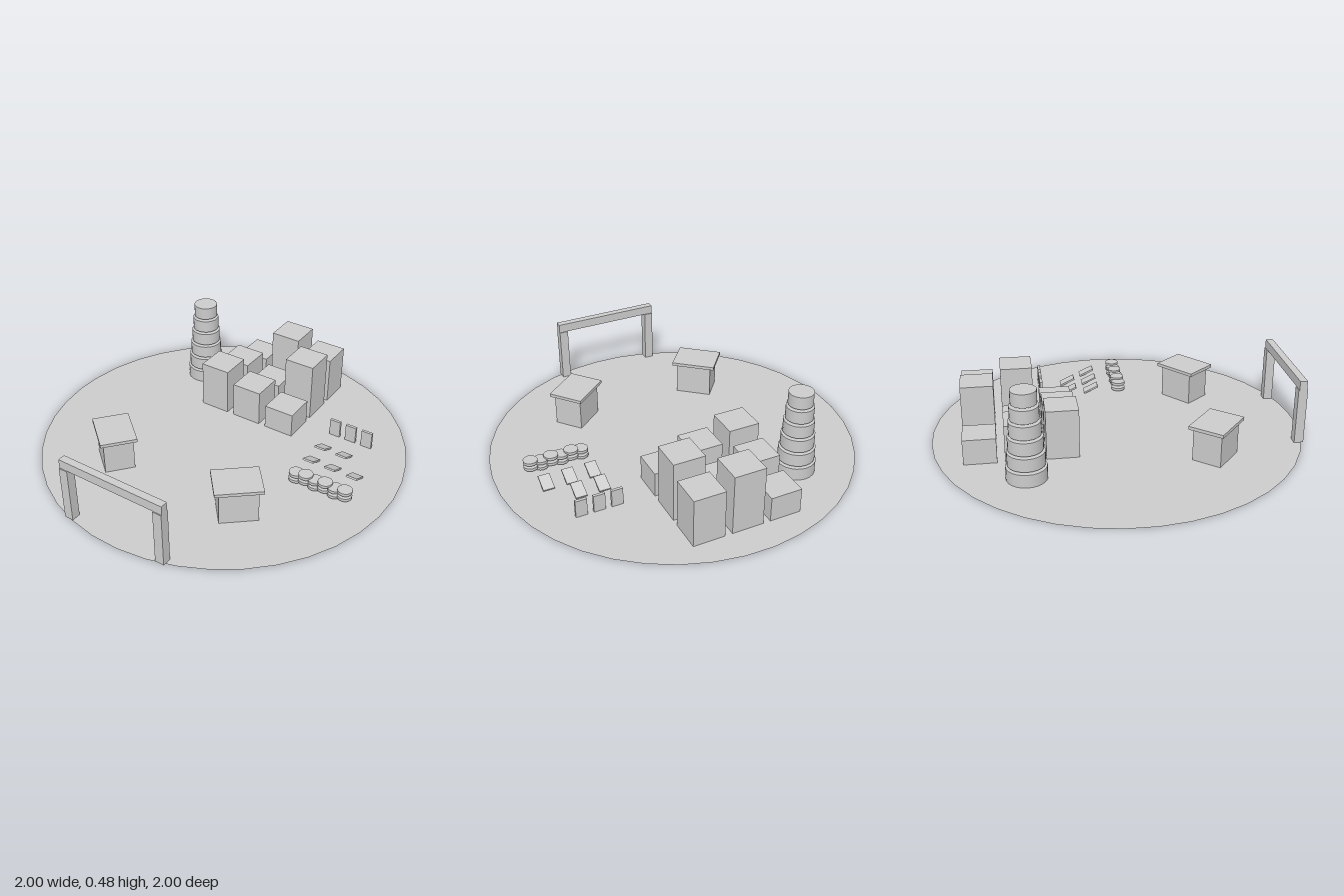
import * as THREE from 'three';

const mat = new THREE.MeshStandardMaterial({ color: 0xcccccc });
const deg = THREE.MathUtils.degToRad;

function add(parent, name, geometry, x, y, z) {
  const mesh = new THREE.Mesh(geometry, mat);
  mesh.name = name;
  mesh.position.set(x, y, z);
  parent.add(mesh);
  return mesh;
}

// Box and cylinder standing on height y
const box = (p, name, w, h, d, x, y, z) =>
  add(p, name, new THREE.BoxGeometry(w, h, d), x, y + h / 2, z);
const drum = (p, name, r, h, sides, x, y, z) =>
  add(p, name, new THREE.CylinderGeometry(r, r, h, sides), x, y + h / 2, z);

// Turned group placed on the ground
function place(parent, name, x, z, angle) {
  const g = new THREE.Group();
  g.name = name;
  g.position.set(x, 0, z);
  g.rotation.y = deg(angle);
  parent.add(g);
  return g;
}

export function createModel() {
  const model = new THREE.Group();
  model.name = 'islandDiorama';

  // Round flat ground
  const ground = add(model, 'ground', new THREE.CircleGeometry(1, 40), 0, 0, 0);
  ground.rotation.x = -Math.PI / 2;
  ground.material = mat.clone();
  ground.material.side = THREE.DoubleSide;

  // Three by three city blocks, heights cycling through four steps
  const city = place(model, 'cityBlocks', 0.263, -0.462, -30);
  for (let row = 0; row < 3; row++) {
    for (let col = 0; col < 3; col++) {
      const h = 0.138 + 0.0655 * ((row + 3 * col) % 4);
      box(city, 'cityBlock', 0.172, h, 0.172, (col - 1) * 0.212, 0, (row - 1) * 0.212);
    }
  }

  // Tower of shrinking drums
  const tower = place(model, 'tower', -0.15, -0.682, 0);
  for (let i = 0; i < 6; i++) {
    drum(tower, 'towerDrum', 0.105 - 0.0078 * i, 0.07, 24, 0, i * 0.082, 0);
  }

  // Gateway at the rim
  const gate = place(model, 'gate', -0.47, 0.812, -30);
  for (const s of [-1, 1]) box(gate, 'gatePost', 0.05, 0.306, 0.05, s * 0.28, 0, 0);
  box(gate, 'gateBeam', 0.61, 0.05, 0.04, 0, 0.306, 0);

  // Two stalls with overhanging roofs
  for (const [x, z, angle] of [[-0.565, 0.205, -70], [0.102, 0.588, 10]]) {
    const stall = place(model, 'stall', x, z, angle);
    box(stall, 'stallBody', 0.2, 0.18, 0.16, 0, 0, 0);
    box(stall, 'stallRoof', 0.247, 0.018, 0.195, 0, 0.18, 0);
  }

  // Row of upright slabs
  const slabs = place(model, 'slabRow', 0.7, -0.036, -30);
  for (let i = -1; i <= 1; i++) box(slabs, 'slab', 0.062, 0.097, 0.016, i * 0.096, 0, 0);

  // Tilted panels
  const panels = place(model, 'panelField', 0.545, 0.067, -30);
  for (const [col, row] of [[0, 0], [1, 0], [0, 1], [1, 1], [2, 1]]) {
    const panel = box(panels, 'panel', 0.062, 0.01, 0.09, 0.128 * col, 0.019, 0.13 * row);
    panel.rotation.x = deg(-25);
  }

  // Overlapping double discs at alternating heights
  const discs = place(model, 'discRow', 0.52, 0.395, -30);
  for (let i = 0; i < 6; i++) {
    for (const y of [0.008, 0.041]) {
      drum(discs, 'disc', 0.039, 0.016, 16, (i - 2.5) * 0.0565, y + 0.01 * (i % 2), 0);
    }
  }

  return model;
}
